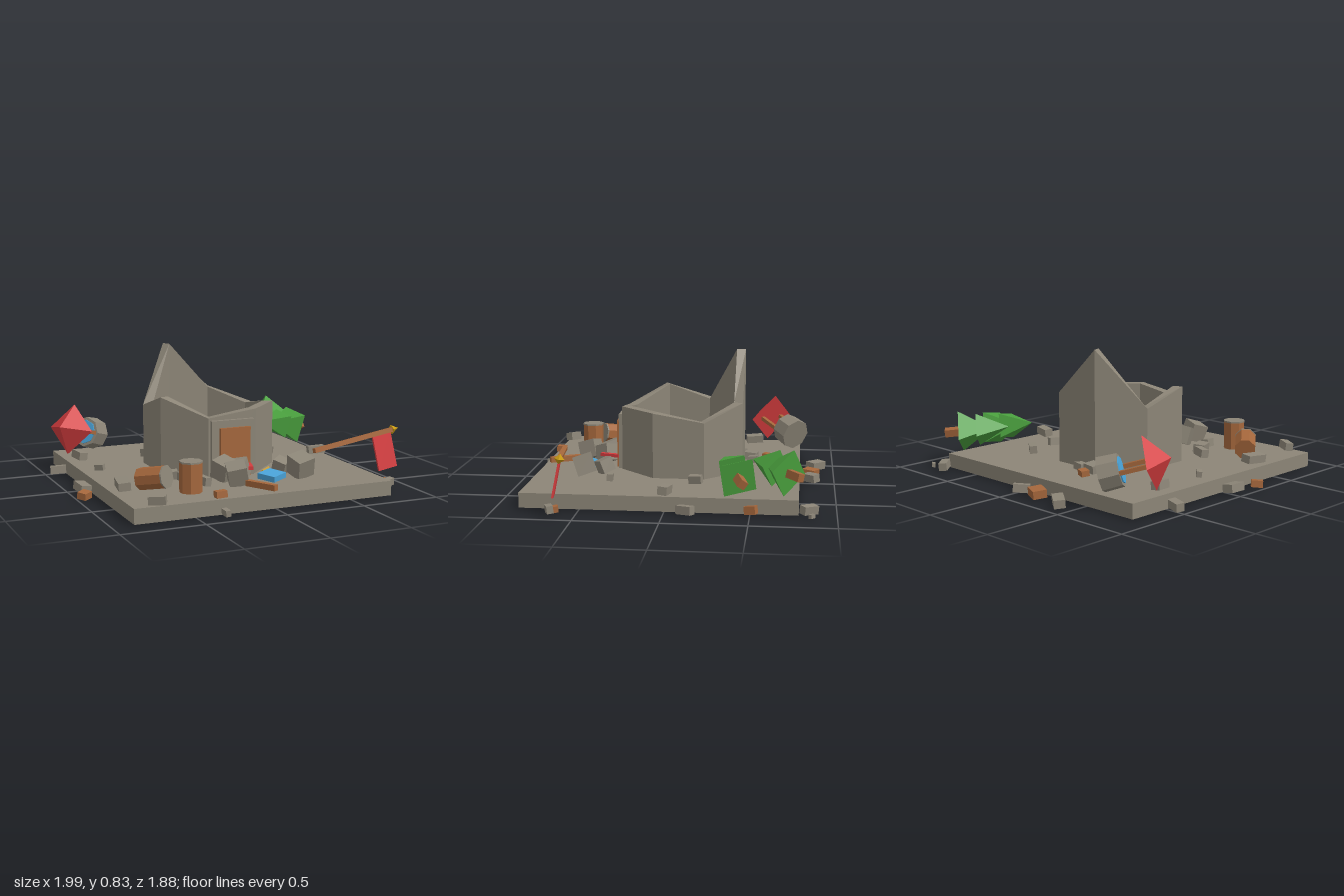
import * as THREE from 'three';
import { ConvexGeometry } from 'three/addons/geometries/ConvexGeometry.js';

const Y = new THREE.Vector3(0, 1, 0);

export function createModel() {
  const root = new THREE.Group();
  root.name = 'ruinedTower';
  const mat = (name, color, side = THREE.FrontSide) => {
    const m = new THREE.MeshStandardMaterial({ color, flatShading: true, side });
    m.name = name;
    return m;
  };
  const stone = mat('stone', 0x8c8577, THREE.DoubleSide);
  const wood = mat('wood', 0xa5673c);
  const red = mat('red', 0xd43c3e);
  const green = mat('green', 0x4aa03e);
  const blue = mat('blue', 0x4aa3d8);
  const gold = mat('gold', 0xc89a14);

  const add = (parent, name, geo, material, x = 0, y = 0, z = 0) => {
    const m = new THREE.Mesh(geo, material);
    m.name = name;
    m.position.set(x, y, z);
    parent.add(m);
    return m;
  };
  const box = (w, h, d) => new THREE.BoxGeometry(w, h, d);
  const cyl = (rt, rb, h, n) => new THREE.CylinderGeometry(rt, rb, h, n);

  // Group whose local y runs along dir, with local x kept horizontal before the roll
  const lying = (name, pos, dir, roll = 0) => {
    const g = new THREE.Group();
    g.name = name;
    g.position.set(...pos);
    const d = new THREE.Vector3(...dir).normalize();
    g.quaternion.setFromUnitVectors(Y, d);
    g.rotateY(Math.atan2(d.x, d.z) + roll);
    root.add(g);
    return g;
  };

  // Ground slab, hollow and open underneath
  const slab = box(1.64, 0.09, 1.64);
  slab.setIndex(Array.from(slab.index.array).filter((v, i) => i < 18 || i >= 24));
  slab.clearGroups();
  add(root, 'groundSlab', slab, stone, -0.05, 0.045, 0.04);

  // Octagonal tower shell with a broken rim, from right-front corner round to right-back
  const heights = [0.495, 0.495, 0.455, 0.565, 0.47, 0.83, 0.53, 0.44];
  const corner = (i, r, y) => {
    const a = Math.PI / 8 + (i * Math.PI) / 4;
    return [-0.05 + r * Math.cos(a), y, -0.038 + r * Math.sin(a)];
  };
  const verts = [];
  const quad = (a, b, c, d) => verts.push(...a, ...b, ...c, ...a, ...c, ...d);
  for (let i = 0; i < 8; i++) {
    const j = (i + 1) % 8, ro = 0.4135, ri = 0.352;
    const oa = corner(i, ro, heights[i]), ob = corner(j, ro, heights[j]);
    const ia = corner(i, ri, heights[i]), ib = corner(j, ri, heights[j]);
    quad(corner(j, ro, 0.09), corner(i, ro, 0.09), oa, ob);
    quad(corner(i, ri, 0.09), corner(j, ri, 0.09), ib, ia);
    quad(oa, ia, ib, ob);
  }
  const shell = new THREE.BufferGeometry();
  shell.setAttribute('position', new THREE.Float32BufferAttribute(verts, 3));
  shell.computeVertexNormals();
  add(root, 'towerWalls', shell, stone);

  // Fallen masonry inside the tower: an octagon sloping down to the front, with one raised point
  const heap = [new THREE.Vector3(-0.18, 0.36, -0.22)];
  for (let i = 0; i < 8; i++) {
    const [x, , z] = corner(i, 0.335, 0);
    heap.push(new THREE.Vector3(x, 0.1, z), new THREE.Vector3(x, 0.25 - 0.2 * z, Math.max(z, -0.26)));
  }
  add(root, 'collapsedFloor', new ConvexGeometry(heap), stone);

  // Doorway
  add(root, 'doorFrame', box(0.28, 0.35, 0.05), stone, -0.055, 0.265, 0.345);
  add(root, 'door', box(0.2, 0.305, 0.02), wood, -0.045, 0.2425, 0.376);

  // Toppled well
  const well = lying('toppledWell', [-0.63, 0.21, -0.71], [-0.17, 0.06, 0.135]);
  add(well, 'wellDrum', cyl(0.1, 0.105, 0.12, 8), stone);
  add(well, 'wellWater', cyl(0.08, 0.08, 0.008, 8), blue, 0, 0.064, 0);
  for (const s of [-1, 1]) add(well, 'wellPost', box(0.025, 0.2, 0.025), wood, s * 0.075, 0.14, 0);
  add(well, 'wellRoof', new THREE.ConeGeometry(0.165, 0.13, 4), red, 0, 0.29, 0);

  // Uprooted trees
  const tree = (pos, dir, roll) => {
    const g = lying('fallenTree', pos, dir, roll);
    add(g, 'treeTrunk', box(0.048, 0.12, 0.048), wood, 0, -0.04, 0);
    add(g, 'lowerFoliage', new THREE.ConeGeometry(0.138, 0.2, 4), green, 0, 0.1, 0);
    add(g, 'upperFoliage', new THREE.ConeGeometry(0.11, 0.2, 4), green, 0, 0.21, 0);
  };
  tree([0.717, 0.235, -0.72], [-0.22, 0.03, 0.22], 0.2);
  tree([0.755, 0.21, -0.43], [-0.295, 0.06, 0.1], 0.6);

  // Flagpole lying across the rubble, local x along the pole
  const along = new THREE.Vector3(0.62, 0.07, -0.095).normalize();
  const side = new THREE.Vector3().crossVectors(along, new THREE.Vector3(-0.035, 0.225, -0.04)).normalize();
  const up = new THREE.Vector3().crossVectors(side, along);
  const flag = new THREE.Group();
  flag.name = 'fallenFlag';
  flag.position.set(0.345, 0.272, 0.665);
  flag.quaternion.setFromRotationMatrix(new THREE.Matrix4().makeBasis(along, up, side));
  root.add(flag);
  add(flag, 'flagPole', box(0.61, 0.028, 0.028), wood, 0.305, 0, 0);
  add(flag, 'flagCloth', box(0.145, 0.23, 0.012), red, 0.52, -0.115, 0);
  add(flag, 'poleTip', new THREE.ConeGeometry(0.03, 0.055, 4), gold, 0.632, 0, 0).rotation.z = -Math.PI / 2;

  // Barrels, one standing and one tipped over
  const barrel = (g) => {
    add(g, 'barrelBody', cyl(0.068, 0.068, 0.175, 8), wood).rotation.y = Math.PI / 8;
    add(g, 'barrelLid', cyl(0.07, 0.07, 0.01, 8), stone, 0, 0.0925, 0).rotation.y = Math.PI / 8;
  };
  const standing = new THREE.Group();
  standing.name = 'standingBarrel';
  standing.position.set(-0.44, 0.1775, 0.63);
  root.add(standing);
  barrel(standing);
  barrel(lying('tippedBarrel', [-0.63, 0.165, 0.51], [0.5, 0.15, 0.65]));

  // Scattered blocks (x, z, length, turn) rest on the slab, or on the ground beyond its edge
  const scatter = (name, material, slimness, list) => list.forEach(([x, z, length, turn], i) => {
    const onSlab = Math.abs(x + 0.05) < 0.82 && Math.abs(z - 0.04) < 0.82;
    const height = Math.min(0.05, length * 0.6);
    const block = box(length, height, length * slimness);
    add(root, name, block, material, x, height / 2 + 0.005 + (onSlab ? 0.09 : 0), z)
      .rotation.set(i % 2 ? 0.12 : -0.08, turn, 0.06, 'YXZ');
  });
  scatter('looseStone', stone, 0.52, [
    [-0.385, -0.885, 0.13, -0.65], [-0.03, -0.855, 0.1, 0.75], [0.74, -0.84, 0.1, -0.9],
    [0.835, -0.855, 0.04, -0.6], [-0.92, -0.48, 0.1, -0.3], [-0.915, 0.04, 0.13, 1.67],
    [-0.335, 0.9, 0.06, 1.6], [0.875, 0.655, 0.075, 0.4], [0.825, -0.13, 0.1, 1.07],
    [-0.78, -0.46, 0.11, 1.77], [-0.78, 0.405, 0.14, 1.42], [-0.72, 0.825, 0.1, -0.5],
    [0.715, 0, 0.11, -0.2], [0.445, -0.155, 0.08, 1.32], [0.4, -0.385, 0.09, -0.65],
    [-0.76, -0.095, 0.06, -0.8], [-0.34, -0.385, 0.09, 0.6], [-0.445, 0.295, 0.1, -0.35],
    [-0.355, 0.4, 0.14, 2.02], [-0.31, 0.52, 0.085, 1.82], [0.43, 0.37, 0.07, 0.05],
  ]);
  scatter('looseStone', stone, 0.9, [[-0.235, -0.46, 0.09, -0.1], [-0.15, -0.48, 0.07, -0.1]]);
  scatter('brokenTimber', wood, 0.85, [
    [-0.165, -0.85, 0.1, -0.4], [-0.955, 0.215, 0.07, 0.7], [-0.34, 0.83, 0.065, -0.05],
    [0.86, 0.63, 0.06, 0.2], [-0.26, -0.565, 0.06, -0.35], [0.77, -0.51, 0.08, -0.3],
  ]);
  add(root, 'fallenBeam', box(0.035, 0.035, 0.21), wood, -0.04, 0.115, 0.74).rotation.y = 0.5;

  // Tumbled cubes before the door (x, z, size, turn)
  for (const [x, z, size, turn] of [
    [-0.15, 0.45, 0.115, 0.5], [-0.06, 0.47, 0.105, -0.6], [-0.13, 0.59, 0.115, -0.25],
    [0.315, 0.55, 0.12, 0.25], [0.24, 0.435, 0.085, 0.7],
  ]) {
    add(root, 'tumbledBlock', box(size, size, size), stone, x, 0.09 + size * 0.62, z)
      .rotation.set(0.3, turn, 0.2, 'YXZ');
  }

  // Small broken banner before the door
  add(root, 'bannerCloth', box(0.03, 0.02, 0.13), red, 0.025, 0.16, 0.435).rotation.y = -0.3;
  add(root, 'bluePanel', box(0.13, 0.035, 0.12), blue, 0.115, 0.12, 0.56).rotation.set(0.08, 0.55, 0.05, 'YXZ');
  add(root, 'bannerTip', new THREE.ConeGeometry(0.03, 0.05, 4), gold, 0.115, 0.13, 0.46).rotation.set(0.2, 0, 1.5);

  return root;
}
